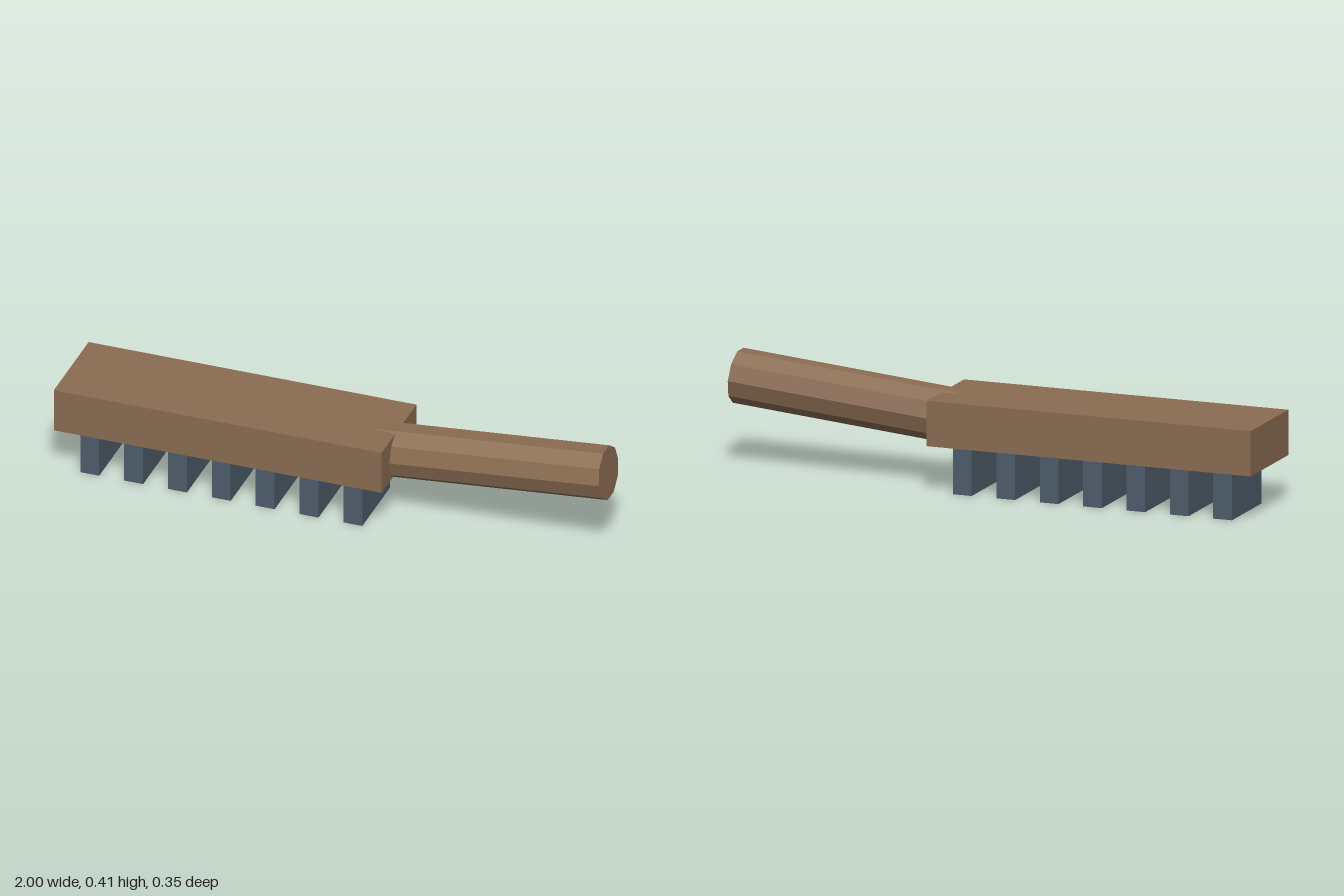
import * as THREE from 'three';

export function createModel() {
  const wood = new THREE.MeshStandardMaterial({ color: 0x8a6c51, flatShading: true });
  wood.name = 'brown wood';
  const bristle = new THREE.MeshStandardMaterial({ color: 0x4e5c69, flatShading: true });
  bristle.name = 'slate bristle';

  const model = new THREE.Group();
  model.name = 'brush';
  const add = (name, geometry, material, x, y, z = 0) => {
    const mesh = new THREE.Mesh(geometry, material);
    mesh.name = name;
    mesh.position.set(x, y, z);
    model.add(mesh);
    return mesh;
  };

  // Block that holds the bristles
  add('head', new THREE.BoxGeometry(1.215, 0.162, 0.348), wood, -0.3925, 0.253);

  // Ten-sided handle, tilted slightly upward and sunk into the head
  const start = new THREE.Vector2(0.122, 0.24);
  const end = new THREE.Vector2(0.991, 0.318);
  const handle = add('handle',
    new THREE.CylinderGeometry(0.0975, 0.0975, start.distanceTo(end), 10), wood,
    (start.x + end.x) / 2, (start.y + end.y) / 2);
  handle.rotation.z = Math.atan2(end.y - start.y, end.x - start.x) - Math.PI / 2;

  // Row of seven bristle tufts, running slightly into the head
  const tuft = new THREE.BoxGeometry(0.07, 0.18, 0.276);
  for (let i = 0; i < 7; i++) {
    add(`bristleRow${i + 1}`, tuft, bristle, -0.88 + i * 0.1625, 0.09);
  }
  return model;
}
